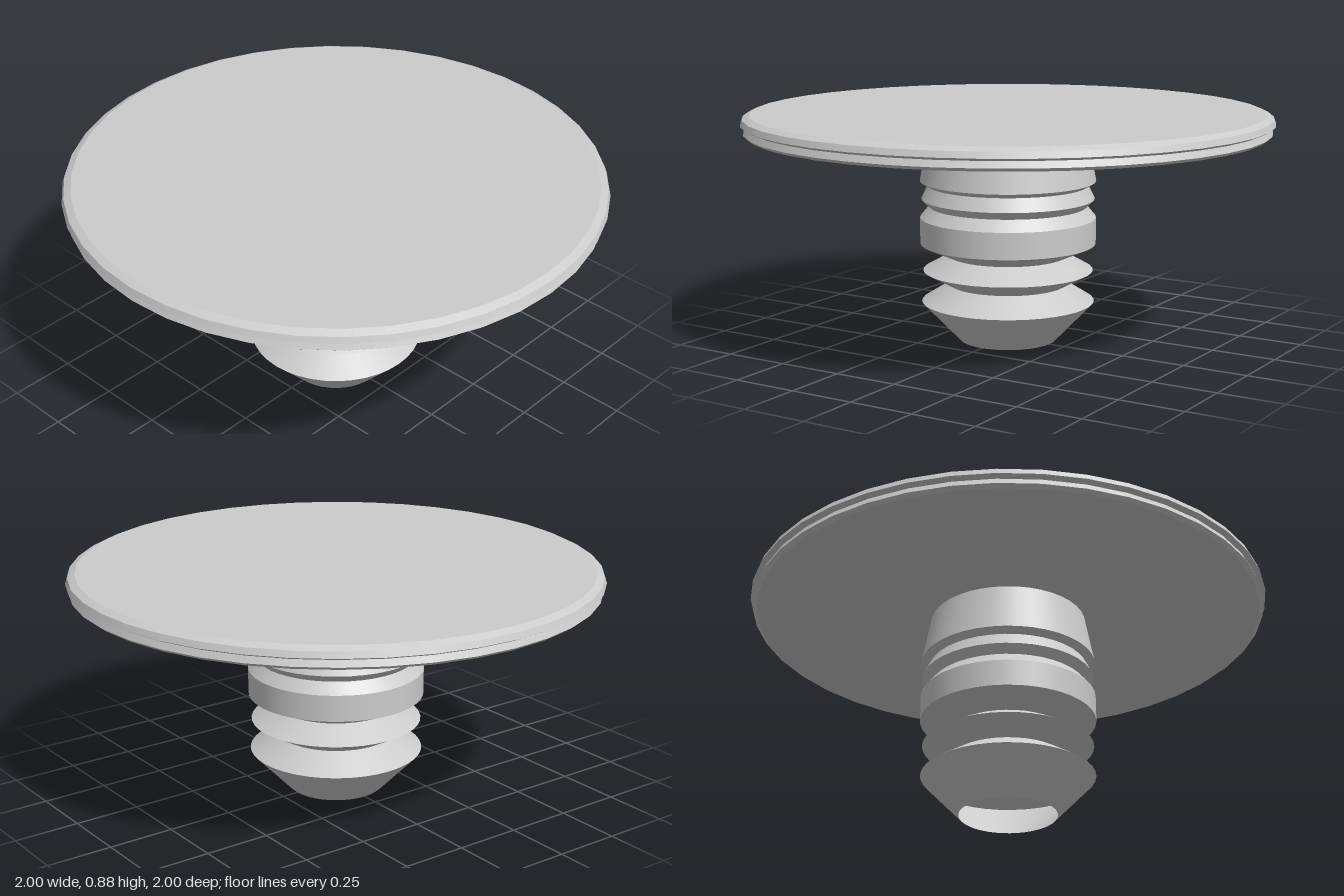
import * as THREE from 'three';
import { mergeGeometries } from 'three/addons/utils/BufferGeometryUtils.js';

const material = new THREE.MeshStandardMaterial({ color: 0xcccccc, side: THREE.DoubleSide });

// Stacks open cone bands along a [radius, y] profile (bottom to top), with crisp edges between them
function bands(profile, sides) {
  const rings = [];
  for (let i = 0; i < profile.length - 1; i++) {
    const [r0, y0] = profile[i];
    const [r1, y1] = profile[i + 1];
    const band = new THREE.CylinderGeometry(r1, r0, y1 - y0, sides, 1, true);
    rings.push(band.translate(0, (y0 + y1) / 2, 0));
  }
  return mergeGeometries(rings);
}

function addMesh(parent, name, geometry) {
  const mesh = new THREE.Mesh(geometry, material);
  mesh.name = name;
  parent.add(mesh);
}

export function createModel() {
  const model = new THREE.Group();
  model.name = 'ribbedPlug';

  // Hollow ribbed stem, open at the bottom
  addMesh(model, 'ribbedStem', bands([
    [0.185, 0], [0.33, 0.152], [0.225, 0.218], [0.325, 0.273], [0.225, 0.328],
    [0.335, 0.377], [0.335, 0.478], [0.3, 0.52], [0.33, 0.55], [0.305, 0.6],
    [0.335, 0.618], [0.3, 0.803],
  ], 40));

  // Wide round cap with a shallow groove around its rim
  const cap = new THREE.Group();
  cap.name = 'cap';
  model.add(cap);
  addMesh(cap, 'capRim', bands([
    [0.975, 0.803], [0.99, 0.815], [0.98, 0.838], [1, 0.848], [0.992, 0.87], [0.965, 0.883],
  ], 40));
  addMesh(cap, 'capTop', new THREE.CircleGeometry(0.965, 40).rotateX(-Math.PI / 2).translate(0, 0.883, 0));
  addMesh(cap, 'capUnderside', new THREE.RingGeometry(0.3, 0.975, 40).rotateX(Math.PI / 2).translate(0, 0.803, 0));

  return model;
}
